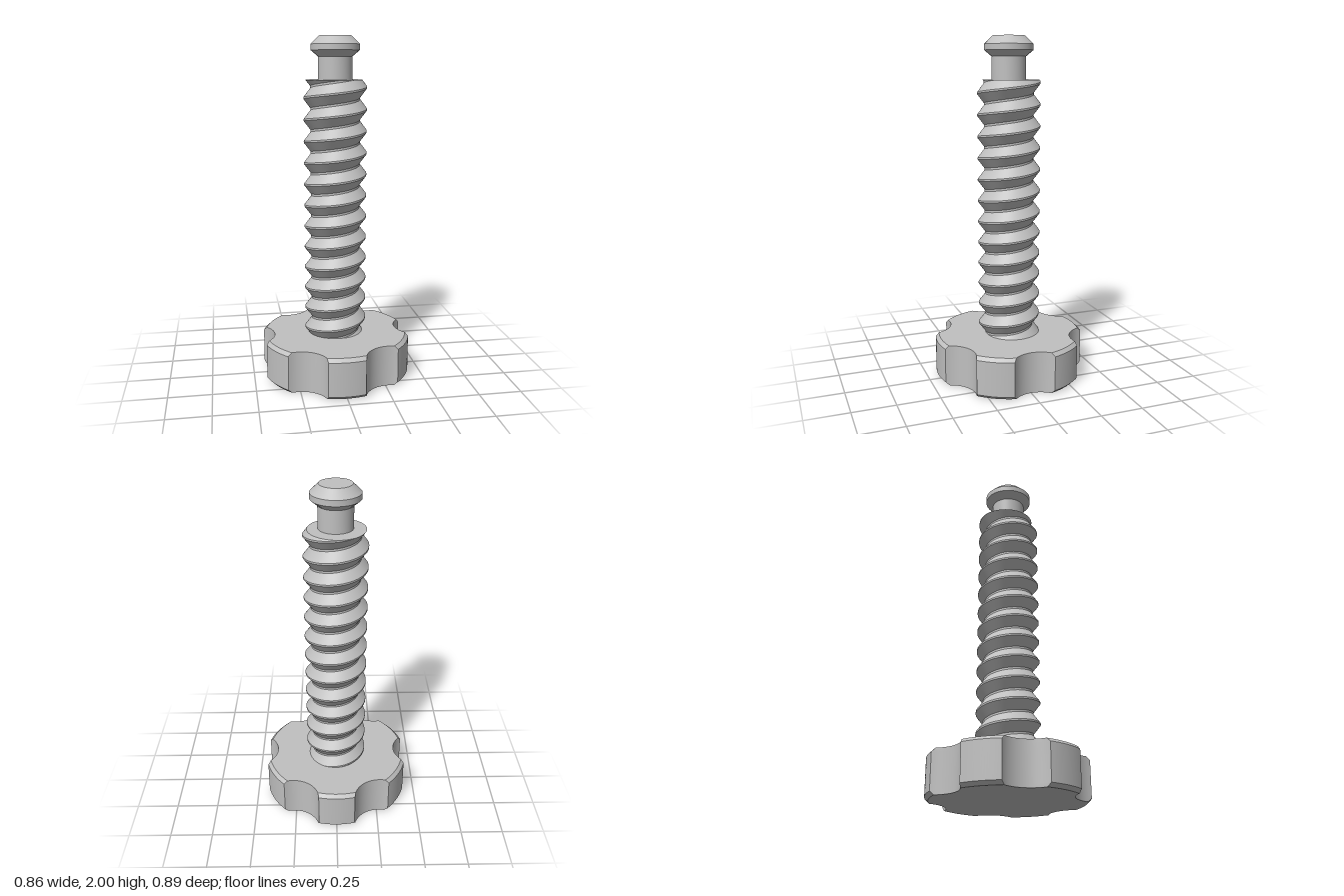
import * as THREE from 'three';
import { toCreasedNormals } from 'three/addons/utils/BufferGeometryUtils.js';

const KNOB_TOP = 0.245, SHAFT_TOP = 1.755;

// Keeps edges sharper than 26 degrees; works at a larger scale for precise vertex matching
function crease(geometry) {
  geometry.scale(100, 100, 100);
  return toCreasedNormals(geometry, 0.45).scale(0.01, 0.01, 0.01);
}

// Skins columns of [x, y, z] points running bottom to top, ordered anticlockwise from above
function skin(columns) {
  const rows = columns[0].length, index = [];
  for (let j = 0; j < columns.length - 1; j++) {
    for (let i = 0; i < rows - 1; i++) {
      const a = j * rows + i, b = a + rows;
      index.push(a, b, b + 1, a, b + 1, a + 1);
    }
  }
  const geometry = new THREE.BufferGeometry();
  geometry.setAttribute('position', new THREE.Float32BufferAttribute(columns.flat(2), 3));
  geometry.setIndex(index);
  return crease(geometry);
}

// Six-lobed outline of a disc of radius R with round scallops cut from its rim
function lobedOutline(R) {
  const c = 0.528, q = 0.158, steps = 16, points = [];
  const a = Math.acos((R * R + c * c - q * q) / (2 * R * c));
  const h = Math.atan2(R * Math.sin(a), c - R * Math.cos(a));
  for (let k = 0; k < 6; k++) {
    const turn = k * Math.PI / 3;
    const add = (x, y) => points.push([
      x * Math.cos(turn) - y * Math.sin(turn),
      x * Math.sin(turn) + y * Math.cos(turn)]);
    for (let i = 0; i < steps; i++) {
      const t = h * (2 * i / steps - 1);
      add(c - q * Math.cos(t), q * Math.sin(t));
    }
    for (let i = 0; i < steps; i++) {
      const t = a + (Math.PI / 3 - 2 * a) * i / steps;
      add(R * Math.cos(t), R * Math.sin(t));
    }
  }
  points.push(points[0]);
  return points;
}

// Knob with chamfered lobes and straight scallops
function knobGeometry() {
  const levels = [[0.425, 0], [0.445, 0.02], [0.445, KNOB_TOP - 0.02], [0.425, KNOB_TOP]];
  const loops = levels.map(([R, y]) => lobedOutline(R).map(([x, d]) => [x, y, -d]));
  return skin(loops[0].map((_, j) => [
    [0, 0, 0], ...loops.map((loop) => loop[j]), [0, KNOB_TOP, 0]]));
}

// Right-handed thread, cut flat at both ends
function threadGeometry() {
  const pitch = 0.125, crest = 0.182, root = 0.143, segments = 64;
  const crestHalf = 0.005, rootStart = pitch / 2 - 0.006;
  const bottom = KNOB_TOP - 0.005, crestY = 1.717;
  const columns = [];
  for (let j = 0; j <= segments; j++) {
    const angle = j / segments * Math.PI * 2;
    const lift = crestY + pitch * j / segments;
    const column = [[0, bottom, 0]];
    for (let turn = -14; turn <= 1; turn++) {
      for (const offset of [-rootStart, -crestHalf, crestHalf, rootStart]) {
        const y = THREE.MathUtils.clamp(lift + turn * pitch + offset, bottom, SHAFT_TOP);
        const u = Math.abs((y - lift) - pitch * Math.round((y - lift) / pitch));
        const f = THREE.MathUtils.clamp((u - crestHalf) / (rootStart - crestHalf), 0, 1);
        const r = crest + (root - crest) * f;
        column.push([r * Math.cos(angle), y, -r * Math.sin(angle)]);
      }
    }
    column.push([0, SHAFT_TOP, 0]);
    columns.push(column);
  }
  return skin(columns);
}

// Turned part from [radius, height] pairs
function turned(profile) {
  return crease(new THREE.LatheGeometry(profile.map(([r, y]) => new THREE.Vector2(r, y)), 64));
}

export function createModel() {
  const metal = new THREE.MeshStandardMaterial({ color: 0xc0c0c0 });
  metal.name = 'greyMetal';

  const group = new THREE.Group();
  group.name = 'thumbScrew';
  const add = (name, geometry) => {
    const mesh = new THREE.Mesh(geometry, metal);
    mesh.name = name;
    group.add(mesh);
  };

  add('knob', knobGeometry());
  add('threadedShaft', threadGeometry());
  add('neck', turned([[0.098, SHAFT_TOP - 0.005], [0.098, 1.885]]));
  add('tip', turned([[0.098, 1.885], [0.14, 1.92], [0.14, 1.953], [0.092, 2], [0, 2]]));
  return group;
}
